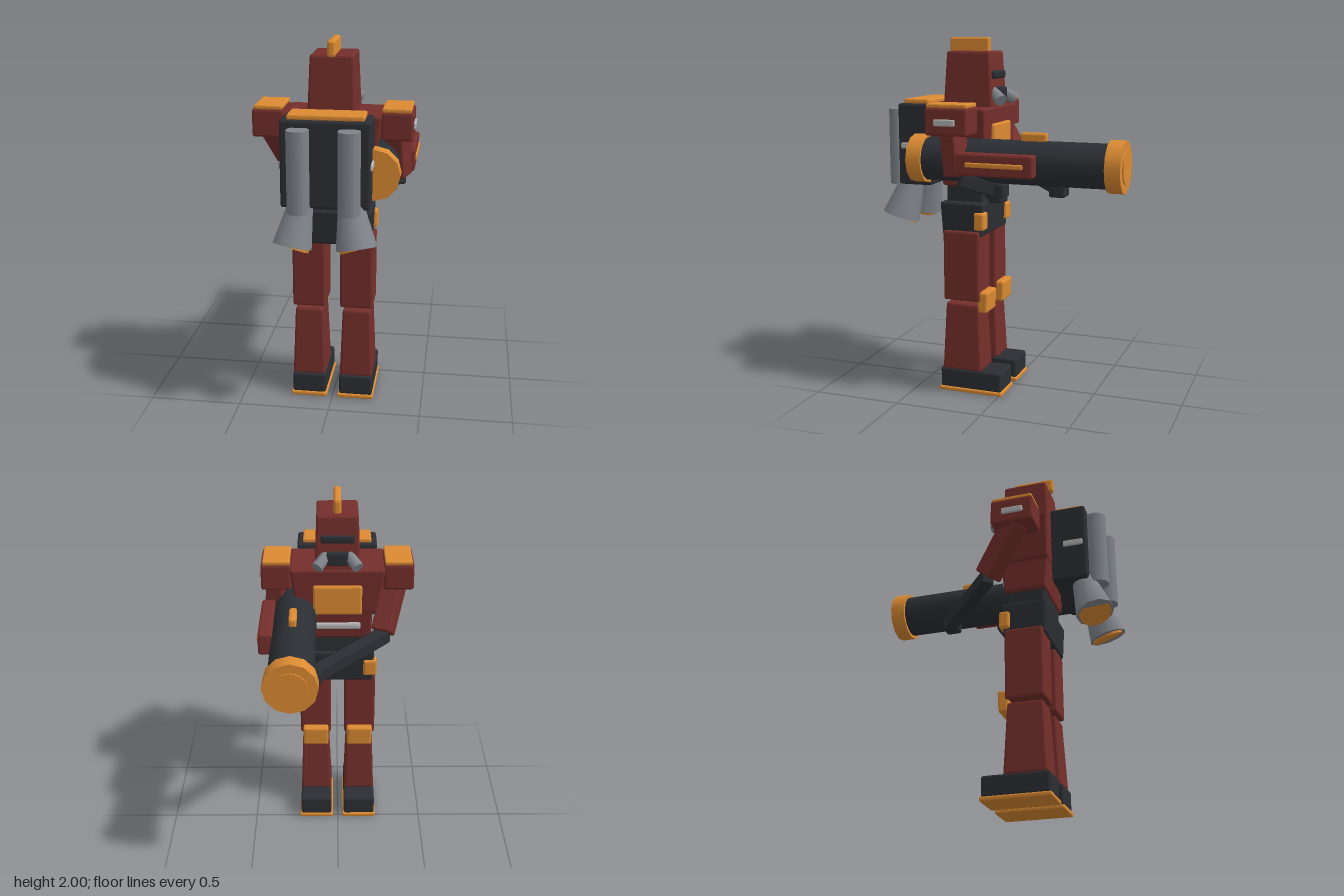
import * as THREE from 'three';
import { RoundedBoxGeometry } from 'three/addons/geometries/RoundedBoxGeometry.js';

const mat = (color) => new THREE.MeshStandardMaterial({ color });
const RED = mat(0x742f2b), DARK = mat(0x2b2e33), GOLD = mat(0xdc8b32), STEEL = mat(0x80858b), LIGHT = mat(0xb4b4b4);

export function createModel() {
  const model = new THREE.Group();
  model.name = 'armouredTrooper';

  const add = (name, geometry, material) => {
    const mesh = new THREE.Mesh(geometry, material);
    mesh.name = name;
    model.add(mesh);
    return mesh;
  };

  // Bevelled box from its limits; topX/topZ and botX/botZ scale its ends
  const block = (name, material, [x0, x1], [y0, y1], [z0, z1], { topX = 1, topZ = 1, botX = 1, botZ = 1 } = {}) => {
    const w = x1 - x0, h = y1 - y0, d = z1 - z0;
    const geo = new RoundedBoxGeometry(w, h, d, 1, Math.min(0.012, w * 0.3, h * 0.3, d * 0.3));
    const p = geo.attributes.position;
    for (let i = 0; i < p.count; i++) {
      const t = p.getY(i) / h + 0.5;
      p.setX(i, p.getX(i) * THREE.MathUtils.lerp(botX, topX, t));
      p.setZ(i, p.getZ(i) * THREE.MathUtils.lerp(botZ, topZ, t));
    }
    geo.computeVertexNormals();
    const mesh = add(name, geo, material);
    mesh.position.set((x0 + x1) / 2, (y0 + y1) / 2, (z0 + z1) / 2);
    return mesh;
  };

  // Bevelled limb running between two points
  const limb = (name, material, a, b, w, h) => {
    const from = new THREE.Vector3(...a), to = new THREE.Vector3(...b);
    const mesh = add(name, new RoundedBoxGeometry(w, h, from.distanceTo(to), 1, 0.012), material);
    mesh.position.copy(from).lerp(to, 0.5);
    mesh.lookAt(to);
    return mesh;
  };

  // Cylinder or cone running from a (radius ra) to b (radius rb)
  const tube = (name, material, a, b, ra, rb, sides = 12) => {
    const from = new THREE.Vector3(...a), to = new THREE.Vector3(...b);
    const mesh = add(name, new THREE.CylinderGeometry(rb, ra, from.distanceTo(to), sides), material);
    mesh.position.copy(from).lerp(to, 0.5);
    mesh.quaternion.setFromUnitVectors(new THREE.Vector3(0, 1, 0), to.clone().sub(from).normalize());
    return mesh;
  };

  const span = (s, a, b) => (s > 0 ? [a, b] : [-b, -a]);

  // Paired parts
  for (const s of [1, -1]) {
    const side = s > 0 ? 'left' : 'right';

    // Legs
    block(side + 'Sole', GOLD, span(s, 0.03, 0.23), [0, 0.025], [-0.02, 0.36]);
    block(side + 'Foot', DARK, span(s, 0.037, 0.223), [0.02, 0.135], [-0.013, 0.353]);
    block(side + 'Shin', RED, span(s, 0.04, 0.222), [0.13, 0.52], [0.105, 0.34], { topX: 0.84, topZ: 0.83 });
    block(side + 'Thigh', RED, span(s, 0.04, 0.22), [0.54, 0.94], [0.115, 0.33]);
    block(side + 'KneePad', GOLD, span(s, 0.055, 0.205), [0.475, 0.595], [0.07, 0.135], { botZ: 0.85 });
    block(side + 'HipPouch', GOLD, span(s, 0.148, 0.226), [0.95, 1.05], [0.085, 0.145]);

    // Shoulders
    block(side + 'Shoulder', RED, span(s, 0.255, 0.42), [1.49, 1.638], [0.1, 0.34]);
    block(side + 'ShoulderCap', GOLD, span(s, 0.26, 0.41), [1.635, 1.658], [0.105, 0.335]);
    block(side + 'ShoulderPlate', LIGHT, span(s, 0.41, 0.43), [1.542, 1.578], [0.165, 0.285]);

    // Breathing canisters beside the mouthpiece
    tube(side + 'Canister', STEEL, [s * 0.06, 1.705, 0.085], [s * 0.11, 1.66, 0.02], 0.03, 0.034, 8);

    // Thruster tanks and nozzles
    const x = s * 0.128;
    tube(side + 'ThrusterTank', STEEL, [x, 1.18, 0.628], [x, 1.605, 0.628], 0.058, 0.058, 10);
    tube(side + 'ThrusterNozzle', STEEL, [x, 1.205, 0.55], [s * 0.165, 0.995, 0.61], 0.066, 0.106, 10);
    tube(side + 'NozzleGlow', GOLD, [s * 0.163, 1.0, 0.608], [s * 0.167, 0.988, 0.612], 0.09, 0.09, 10);
    block(side + 'PackClip', LIGHT, span(s, 0.215, 0.237), [1.39, 1.425], [0.46, 0.57]);
  }

  // Body
  block('pelvis', DARK, [-0.21, 0.21], [0.91, 1.1], [0.095, 0.35], { botX: 0.96, botZ: 0.92 });
  block('waist', DARK, [-0.16, 0.16], [1.08, 1.22], [0.115, 0.33]);
  block('abdomen', RED, [-0.2, 0.2], [1.19, 1.5], [0.068, 0.38], { botX: 0.94, botZ: 0.74 });
  block('chest', RED, [-0.262, 0.262], [1.36, 1.625], [0.062, 0.38], { botX: 0.84, botZ: 0.92 });
  block('chestPanel', GOLD, [-0.135, 0.135], [1.36, 1.535], [0.05, 0.1]);
  block('chestVent', LIGHT, [-0.13, 0.13], [1.255, 1.295], [0.08, 0.13]);

  // Head
  block('head', RED, [-0.125, 0.125], [1.61, 1.925], [0.07, 0.36], { topX: 0.9, topZ: 0.86 });
  block('crest', GOLD, [-0.02, 0.02], [1.915, 2], [0.125, 0.36]);
  block('visor', DARK, [-0.092, 0.092], [1.775, 1.82], [0.065, 0.115]);
  block('mouthpiece', DARK, [-0.06, 0.06], [1.655, 1.73], [0.045, 0.1]);

  // Backpack
  block('backpack', DARK, [-0.228, 0.228], [1.19, 1.64], [0.392, 0.588]);
  block('backpackCap', GOLD, [-0.195, 0.195], [1.635, 1.665], [0.415, 0.565]);

  // Cannon carried under the left shoulder
  const cx = 0.236, cy = 1.345;
  tube('cannonBarrel', DARK, [cx, cy, 0.42], [cx, cy, -0.65], 0.12, 0.12, 16);
  tube('cannonRearRing', GOLD, [cx, cy, 0.48], [cx, cy, 0.395], 0.134, 0.134, 12);
  tube('cannonMuzzleRing', GOLD, [cx, cy, -0.625], [cx, cy, -0.708], 0.14, 0.14, 12);
  tube('cannonMuzzle', GOLD, [cx, cy, -0.7], [cx, cy, -0.715], 0.092, 0.092, 12);
  block('cannonSight', GOLD, [0.215, 0.256], [1.455, 1.507], [-0.285, -0.14]);
  block('cannonSidePanel', RED, [0.345, 0.422], [1.285, 1.405], [-0.262, 0.165]);
  block('cannonSideStripe', GOLD, [0.41, 0.43], [1.332, 1.358], [-0.21, 0.11]);
  block('cannonGrip', DARK, [0.205, 0.265], [1.12, 1.24], [-0.035, 0.045]);

  // Left arm, holding the grip
  limb('leftUpperArm', RED, [0.33, 1.54, 0.22], [0.345, 1.27, 0.185], 0.105, 0.11);
  limb('leftForearm', DARK, [0.345, 1.255, 0.175], [0.245, 1.195, 0.01], 0.08, 0.08);
  block('leftHand', DARK, [0.185, 0.285], [1.15, 1.23], [-0.055, 0.055]);

  // Right arm, reaching across to steady the barrel
  limb('rightUpperArm', RED, [-0.335, 1.53, 0.22], [-0.25, 1.265, 0.03], 0.11, 0.12);
  limb('rightForearm', DARK, [-0.27, 1.25, 0.04], [0.13, 1.2, -0.33], 0.075, 0.08);
  block('rightHand', DARK, [0.085, 0.185], [1.155, 1.23], [-0.365, -0.275]);

  return model;
}
